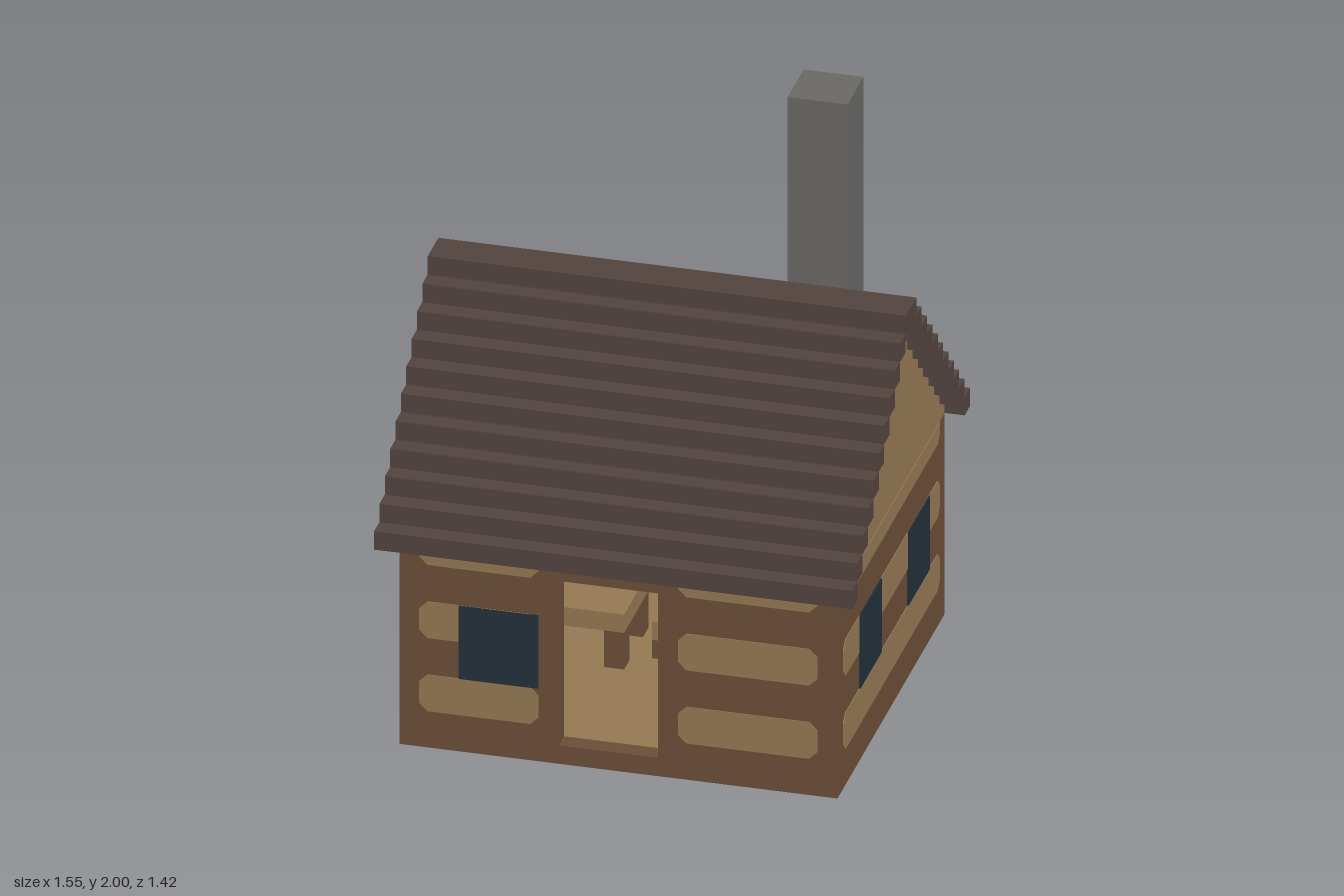
import * as THREE from 'three';

const U = 2 / 31; // one block; everything below is measured in blocks

const material = (name, color) => {
  const m = new THREE.MeshStandardMaterial({ color });
  m.name = name;
  return m;
};

export function createModel() {
  const timber = material('dark timber', 0x6a4d37);
  const plank = material('light plank', 0x947752);
  const shingle = material('roof brown', 0x51433e);
  const stone = material('chimney grey', 0x696764);
  const glass = material('window blue', 0x232f3a);

  const cabin = new THREE.Group();
  cabin.name = 'cabin';

  const add = (parent, name, geometry, mat) => {
    const mesh = new THREE.Mesh(geometry, mat);
    mesh.name = name;
    parent.add(mesh);
    return mesh;
  };
  // Box given by its limits on each axis
  const box = (name, mat, x0, x1, y0, y1, z0, z1) =>
    add(cabin, name, new THREE.BoxGeometry(x1 - x0, y1 - y0, z1 - z0), mat)
      .position.set((x0 + x1) / 2, (y0 + y1) / 2, (z0 + z1) / 2);
  const extrude = (points, depth, hole) => {
    const shape = new THREE.Shape(points.map(p => new THREE.Vector2(...p)));
    if (hole) shape.holes.push(new THREE.Path(hole.map(p => new THREE.Vector2(...p))));
    return new THREE.ExtrudeGeometry(shape, { depth, bevelEnabled: false });
  };
  const rect = (x0, x1, y0, y1) => [[x0, y0], [x1, y0], [x1, y1], [x0, y1]];
  // Thin stripe with cut corners; top corners stay square when open is true
  const stripe = (face, x0, x1, y0, y1, open = false) => {
    const c = 0.42, t = open ? 0 : c;
    add(face, 'plankStripe', extrude([
      [x0 + c, y0], [x1 - c, y0], [x1, y0 + c], [x1, y1 - t],
      [x1 - t, y1], [x0 + t, y1], [x0, y1 - t], [x0, y0 + c],
    ], 0.04), plank);
  };
  const stripes = (face, x0, x1) => {
    stripe(face, x0, x1, 2, 4);
    stripe(face, x0, x1, 6, 8);
    stripe(face, x0, x1, 10, 11, true);
  };
  const pane = (face, x0, x1) =>
    add(face, 'windowPane', extrude(rect(x0, x1, 4, 8), 0.08), glass);
  const wallFace = (name, turn, x, z) => {
    const g = new THREE.Group();
    g.name = name;
    g.rotation.y = turn;
    g.position.set(x, 0, z);
    cabin.add(g);
    return g;
  };

  // Floor and walls
  box('floor', plank, -10, 10, 0, 1, -9, 9);
  const front = add(cabin, 'frontWall',
    extrude(rect(-11, 11, 0, 11), 1, rect(-3, 2, 1, 10)), timber);
  front.position.z = 9;
  box('backWall', timber, -11, 11, 0, 11, -10, -9);
  for (const s of [-1, 1]) {
    box('sideWall', timber, s * 10.5 - 0.5, s * 10.5 + 0.5, 0, 11, -9, 9);
    box('wallTop', plank, -10, 10, 11, 12, s * 9.5 - 0.5, s * 9.5 + 0.5);
  }

  // Stepped gables
  const gable = [[-10, 11], [10, 11]];
  for (let i = 0; i < 10; i++) gable.push([10 - i, 12 + i], [9 - i, 12 + i]);
  for (let i = 9; i >= 0; i--) gable.push([i - 9, 12 + i], [i - 10, 12 + i]);
  const outline = gable.filter((p, i) =>
    i === 0 || p[0] !== gable[i - 1][0] || p[1] !== gable[i - 1][1]);

  // Decoration on the outside and inside of the walls
  const frontFace = wallFace('frontFace', 0, 0, 10);
  stripes(frontFace, -10, -4);
  stripes(frontFace, 3, 10);
  pane(frontFace, -8, -4);
  stripes(wallFace('backFace', Math.PI, 0, -10), -10, 10);
  stripes(wallFace('innerBackFace', 0, 0, -9), -9.5, 9.5);
  for (const s of [-1, 1]) {
    const side = wallFace('sideFace', s * Math.PI / 2, s * 11, 0);
    stripes(side, -9, 9);
    for (const [z0, z1] of [[2, 6], [-7, -3]])
      pane(side, Math.min(-s * z0, -s * z1), Math.max(-s * z0, -s * z1));
    add(side, 'gable', extrude(outline, 1), plank).position.z = -1;
    stripes(wallFace('innerSideFace', -s * Math.PI / 2, s * 10, 0), -8.5, 8.5);
  }

  // Roof: one row of blocks per step, joined at the ridge
  for (let i = 0; i < 10; i++)
    for (const s of [-1, 1]) {
      const z = s * (10.5 - i);
      box('roofStep', shingle, -12, 12, 11 + i, 12 + i, z - 0.5, z + 0.5);
    }
  box('roofRidge', shingle, -12, 12, 21, 22, -1, 1);

  // Chimney
  box('chimney', stone, 5, 8, 1, 31, -6, -3);

  // Table, stool and lamp inside
  box('tableTop', plank, -8, -2, 3, 4, -3, 1.5);
  for (const x of [-8, -3])
    for (const z of [-3, 0.5]) box('tableLeg', timber, x, x + 1, 1, 3, z, z + 1);
  box('stoolBase', timber, -1, 1, 1, 2, -2, 0);
  box('stoolSeat', plank, -1, 1, 2, 3, -2, 0);
  box('lampBase', plank, -1, 0, 8, 9, -9, -8);
  box('lampGlass', glass, -1, 0, 9, 10, -9, -8);

  cabin.scale.setScalar(U);
  const model = new THREE.Group();
  model.name = 'logCabin';
  model.add(cabin);
  return model;
}
